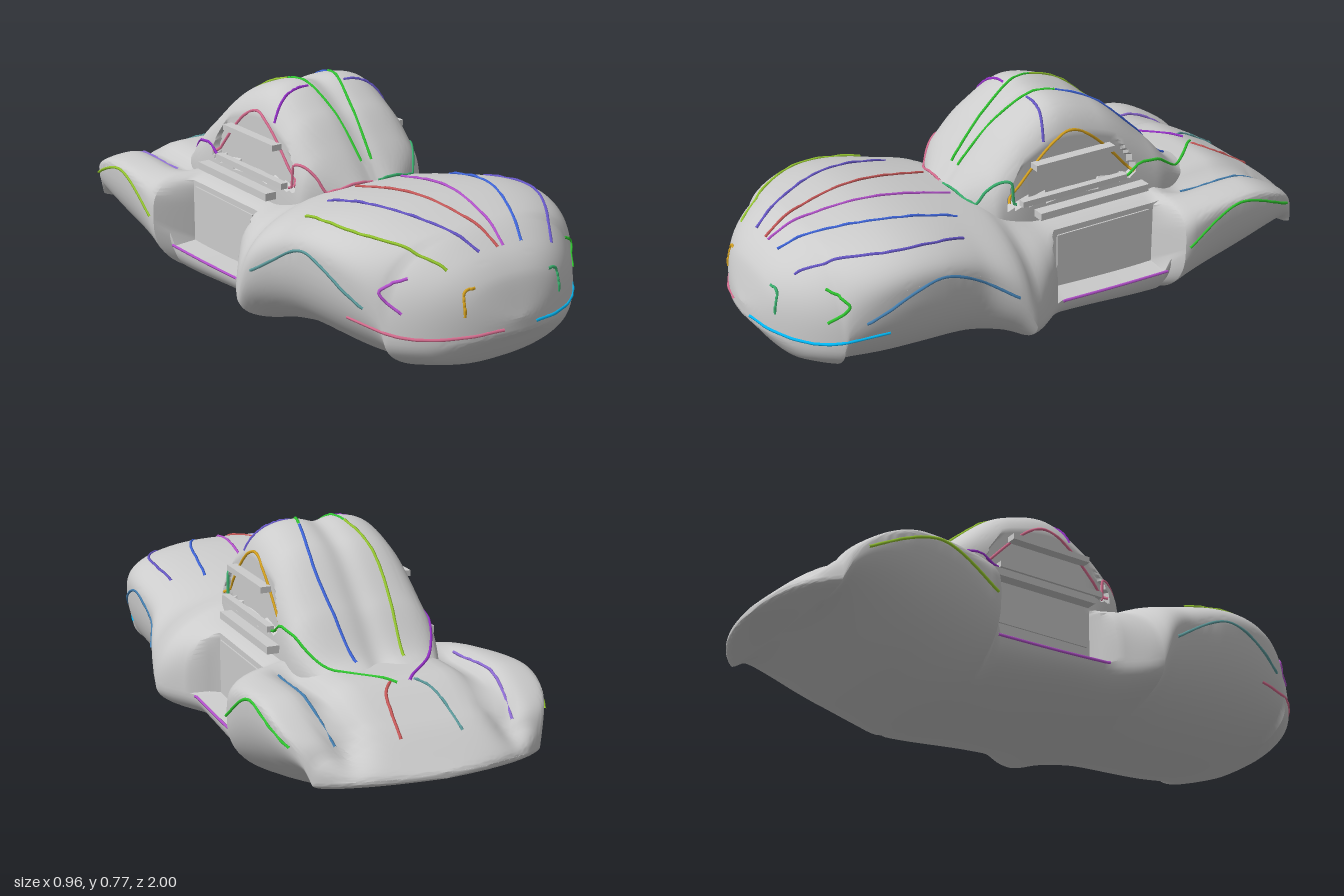
import * as THREE from 'three';
import { toCreasedNormals } from 'three/addons/utils/BufferGeometryUtils.js';

// Monotone cubic through [position, value] keys
function curve(...k) {
  const n = k.length;
  const d = k.slice(1).map((q, i) => (q[1] - k[i][1]) / (q[0] - k[i][0]));
  const m = k.map((_, i) => {
    const a = d[Math.max(0, i - 1)], b = d[Math.min(n - 2, i)];
    return a * b > 0 ? (2 * a * b) / (a + b) : 0;
  });
  return (x) => {
    if (x <= k[0][0]) return k[0][1];
    if (x >= k[n - 1][0]) return k[n - 1][1];
    let i = 0;
    while (x > k[i + 1][0]) i++;
    const h = k[i + 1][0] - k[i][0], t = (x - k[i][0]) / h, u = 1 - t;
    return u * u * (1 + 2 * t) * k[i][1] + t * t * (3 - 2 * t) * k[i + 1][1]
      + h * t * u * (u * m[i] - t * m[i + 1]);
  };
}

// Falls from 1 at t = 0 to 0 at t = 1
const round = (t, p, q = 2) => (1 - Math.min(1, Math.max(0, t)) ** p) ** (1 / q);

// Body along z: half width, rounded off at nose and tail
const midWidth = curve([-0.39, 0.45], [-0.36, 0.385], [0.04, 0.385], [0.22, 0.48], [0.38, 0.435], [0.5, 0.44]);
const halfWidth = (z) => midWidth(z) * round((z - 0.5) / 0.5, 2.6) * round((-z - 0.6) / 0.4, 3.5);
// Rim between belly and upper body, lifted over the wheel arches
const rimBase = curve([-1, 0.215], [-0.3, 0.155], [0.1, 0.17], [0.8, 0.22]);
const rim = (z) => rimBase(z) + 0.2 * round(Math.abs(z - 0.52) / 0.3, 2) + 0.19 * round(Math.abs(z + 0.62) / 0.26, 2);
const top = curve([-1, 0.225], [-0.85, 0.335], [-0.65, 0.415], [-0.4, 0.41], [0.06, 0.41],
  [0.25, 0.48], [0.6, 0.535], [0.8, 0.505], [0.9, 0.45], [0.96, 0.385], [1, 0.26]);
const bottom = curve([-1, 0.205], [-0.85, 0.15], [-0.6, 0.04], [-0.4, 0], [0, 0.035], [0.6, 0.05], [0.9, 0.1], [1, 0.215]);
const power = curve([-1, 2.5], [-0.85, 3.6], [0.05, 4], [0.2, 2.3], [0.6, 2.6], [1, 3]);
const doorInset = curve([-0.38, 0.5], [-0.355, 0.305], [0.05, 0.305], [0.09, 0.5]);
// Valleys between the rear lid and the rear fenders
const rearMask = curve([-0.98, 0], [-0.85, 1], [-0.5, 1], [-0.38, 0]);
const groove = (x, z) => 0.045 * rearMask(z) * Math.exp(-(((Math.abs(x) - 0.26) / 0.05) ** 2));
const BELLY_POWER = 2.3, LEDGE = 0.006;

// Cabin along z
const CABIN = { rear: -0.72, front: 0.29, base: 0.34, power: 4 };
const cabinWidth = curve([-0.72, 0.07], [-0.55, 0.205], [-0.4, 0.25], [0.1, 0.25], [0.2, 0.24], [0.29, 0.12]);
const cabinTop = curve([-0.72, 0.39], [-0.55, 0.425], [-0.4, 0.565], [-0.2, 0.725], [-0.05, 0.765],
  [0.1, 0.69], [0.2, 0.59], [0.29, 0.48]);
const roofDip = (x) => 0.016 * Math.exp(-((x / 0.04) ** 2));
const inWindow = (y, z) => y > 0.47 && ((z + 0.07) / 0.24) ** 2 + ((y - 0.46) / 0.21) ** 2 < 1;
const cabinSide = (y, z) => cabinWidth(z) - (inWindow(y, z) ? 0.025 : 0);

// Solid test used to lay trim lines on the surface
function inside(x, y, z) {
  const ax = Math.abs(x), w = halfWidth(z), s = rim(z), p = power(z);
  if (ax < w && (y < s + LEDGE || ax < doorInset(z))) {
    const high = s + (top(z) - s) * round(ax / w, p, p) - groove(x, z);
    const low = s - (s - bottom(z)) * round(ax / w, BELLY_POWER, BELLY_POWER);
    if (y >= low && y <= high) return true;
  }
  const roof = CABIN.base + (cabinTop(z) - CABIN.base) * round(ax / cabinWidth(z), CABIN.power, CABIN.power);
  return z > CABIN.rear && z < CABIN.front && y > CABIN.base && ax < cabinSide(y, z) && y < roof - roofDip(x);
}

// Skin closed rings, ordered anticlockwise seen from +z, with rising z
function loft(rings) {
  const n = rings[0].length, index = [];
  for (let i = 0; i < rings.length - 1; i++) for (let j = 0; j < n; j++) {
    const a = i * n + j, b = i * n + (j + 1) % n;
    index.push(a, b, a + n, b, b + n, a + n);
  }
  const g = new THREE.BufferGeometry();
  g.setAttribute('position', new THREE.Float32BufferAttribute(rings.flat(2), 3));
  g.setIndex(index);
  return toCreasedNormals(g, 0.7);
}

// Half ring from bottom centre to top centre, completed by its mirror image
const mirrorRing = (half) => half.concat(half.slice(1, -1).reverse().map(([x, y, z]) => [-x, y, z]));
const ease = (u) => (Math.PI / 2) * u * u * (3 - 2 * u);

function bodyRing(z) {
  const w = halfWidth(z), s = rim(z), half = [];
  for (let i = 0; i <= 18; i++) {
    const a = (Math.PI / 2) * (i / 18), e = 2 / BELLY_POWER;
    half.push([w * Math.sin(a) ** e, s - (s - bottom(z)) * Math.cos(a) ** e, z]);
  }
  for (let i = 0; i <= 24; i++) {
    const a = ease(i / 24), e = 2 / power(z), x = Math.min(doorInset(z), w * Math.cos(a) ** e);
    half.push([x, Math.max(s + LEDGE, s + (top(z) - s) * Math.sin(a) ** e - groove(x, z)), z]);
  }
  return mirrorRing(half);
}

function cabinRing(z) {
  const half = [[0, CABIN.base, z]], e = 2 / CABIN.power;
  for (let i = 0; i <= 44; i++) {
    const a = ease(i / 44), x = cabinWidth(z) * Math.cos(a) ** e;
    const y = CABIN.base + (cabinTop(z) - CABIN.base) * Math.sin(a) ** e - roofDip(x);
    half.push([Math.min(x, cabinSide(y, z)), y, z]);
  }
  return mirrorRing(half);
}

// Trim line: drawn flat along one axis, then dropped onto the surface
const PROJECT = {
  top: (a, b, v) => [a, v, b],
  front: (a, b, v) => [a, b, v],
  side: (a, b, v) => [v, b, a],
};
function trimLine(view, pts, side) {
  const flat = new THREE.SplineCurve(pts.map((p) => new THREE.Vector2(...p)));
  const path = flat.getPoints(22).map(({ x: a, y: b }) => {
    let v = 1;
    while (v > 0 && !inside(...PROJECT[view](a, b, v))) v -= 0.004;
    const [x, y, z] = PROJECT[view](a, b, v + 0.003);
    return new THREE.Vector3(x * side, y, z);
  });
  return new THREE.TubeGeometry(new THREE.CatmullRomCurve3(path), 40, 0.005, 5);
}

// Name, direction, left and right colours, points
const TRIM = [
  ['hoodInnerLine', 'top', 'mediumorchid', 'indianred', [[0.09, 0.3], [0.06, 0.6], [0.01, 0.9]]],
  ['hoodOuterLine', 'top', 'royalblue', 'slateblue', [[0.24, 0.36], [0.2, 0.62], [0.08, 0.9]]],
  ['fenderCrestLine', 'top', 'slateblue', 'yellowgreen', [[0.35, 0.4], [0.35, 0.65], [0.2, 0.9]]],
  ['cowlLine', 'top', 'mediumseagreen', 'palevioletred', [[0.01, 0.28], [0.16, 0.26], [0.24, 0.14]]],
  ['windscreenLine', 'top', 'limegreen', 'limegreen', [[0.02, 0.23], [0.04, 0.08], [0.08, -0.1]]],
  ['roofFrontLine', 'top', 'slateblue', 'darkorchid', [[0.07, 0], [0.15, 0.005], [0.22, 0.03]]],
  ['roofRearLine', 'top', 'royalblue', 'yellowgreen', [[0.08, -0.1], [0.11, -0.3], [0.08, -0.55]]],
  ['cabinEdgeLine', 'top', 'limegreen', 'darkorchid', [[0.235, 0.1], [0.23, -0.42], [0.02, -0.71]]],
  ['rearLidLine', 'top', 'indianred', 'cadetblue', [[0.04, -0.7], [0.08, -0.76], [0.1, -0.9]]],
  ['rearFenderLine', 'top', 'steelblue', 'mediumpurple', [[0.3, -0.46], [0.31, -0.7], [0.29, -0.86]]],
  ['bumperLine', 'front', 'deepskyblue', 'palevioletred', [[0.06, 0.235], [0.3, 0.225], [0.4, 0.25]]],
  ['headlampLine', 'front', 'limegreen', 'mediumorchid', [[0.3, 0.4], [0.37, 0.36], [0.33, 0.3]]],
  ['nosePanelLine', 'front', 'mediumseagreen', 'goldenrod', [[0.14, 0.37], [0.175, 0.36], [0.18, 0.29]]],
  ['frontArchLine', 'side', 'steelblue', 'cadetblue', [[0.76, 0.3], [0.52, 0.41], [0.27, 0.28]]],
  ['rearArchLine', 'side', 'limegreen', 'yellowgreen', [[-0.4, 0.26], [-0.6, 0.375], [-0.83, 0.3]]],
  ['sillLine', 'side', 'mediumorchid', 'mediumorchid', [[0.06, 0.165], [-0.15, 0.158], [-0.36, 0.155]]],
  ['windowArchLine', 'side', 'goldenrod', 'palevioletred', [[0.17, 0.48], [-0.07, 0.675], [-0.31, 0.48]]],
];

export function createModel() {
  const car = new THREE.Group();
  car.name = 'car';
  const grey = new THREE.MeshStandardMaterial({ color: 0xcccccc });
  const add = (name, geometry, material = grey) => {
    const mesh = new THREE.Mesh(geometry, material);
    mesh.name = name;
    car.add(mesh);
    return mesh;
  };

  // Body shell, its rings closer together towards nose and tail
  const body = Array.from({ length: 151 }, (_, i) => bodyRing(-Math.cos((Math.PI * i) / 150)));
  add('bodyShell', loft(body));

  // Cabin with recessed side windows
  const cabin = Array.from({ length: 81 }, (_, i) => cabinRing(THREE.MathUtils.lerp(CABIN.rear, CABIN.front, i / 80)));
  add('cabin', loft(cabin));

  for (const side of [1, -1]) {
    // Door and window mouldings
    const box = (name, w, h, d, x, y, z) => add(name, new THREE.BoxGeometry(w, h, d)).position.set(side * x, y, z);
    box('doorPanel', 0.02, 0.12, 0.36, 0.3, 0.3, -0.15);
    box('beltMoulding', 0.05, 0.025, 0.42, 0.265, 0.43, -0.13);
    box('windowSill', 0.025, 0.02, 0.4, 0.25, 0.475, -0.07);
    box('windowRail', 0.035, 0.02, 0.3, 0.245, 0.59, -0.07);

    // Coloured trim lines
    for (const [name, view, left, right, pts] of TRIM) {
      add(name, trimLine(view, pts, side), new THREE.MeshStandardMaterial({ color: side > 0 ? left : right }));
    }
  }
  return car;
}
